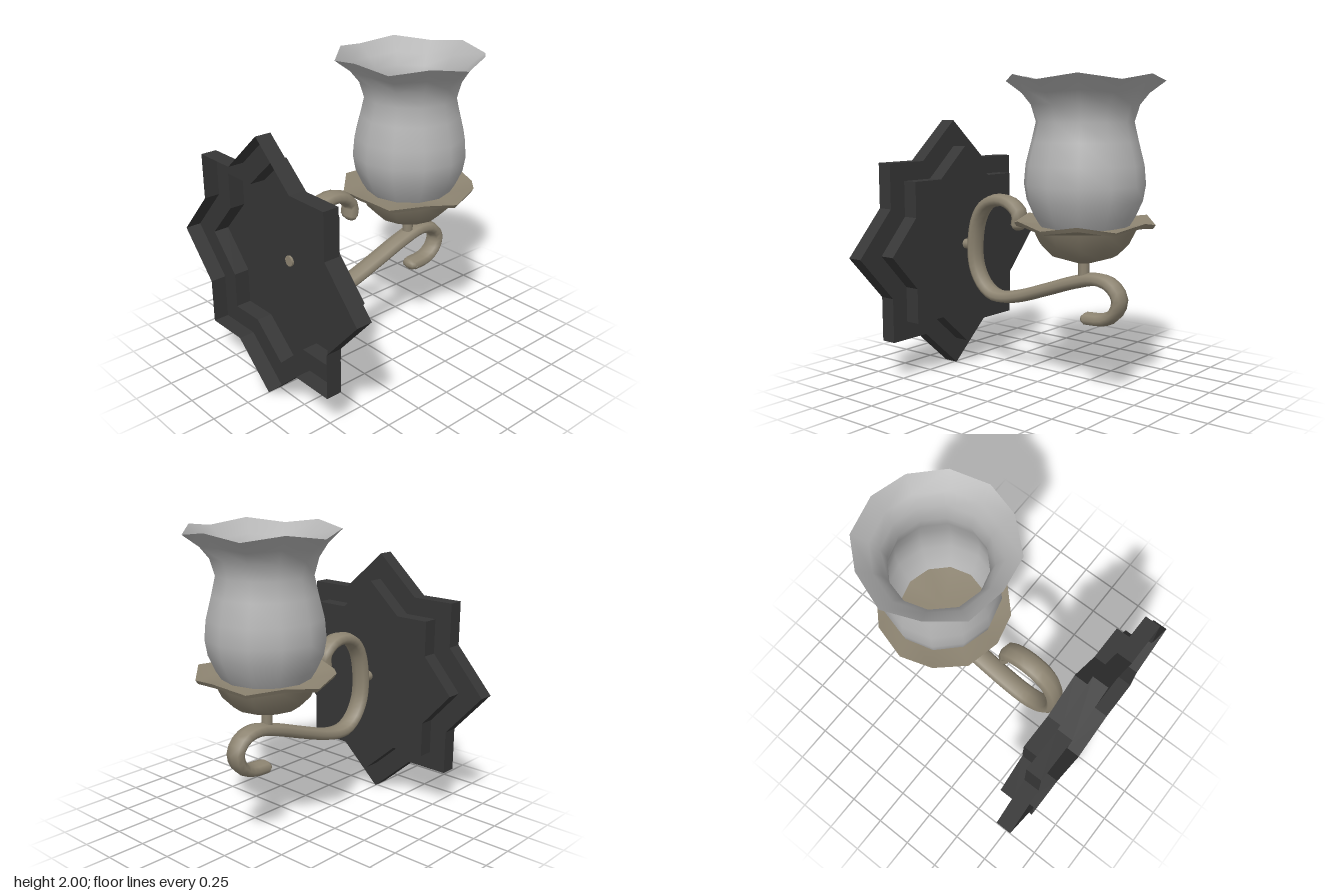
import * as THREE from 'three';
import { mergeVertices, toCreasedNormals } from 'three/addons/utils/BufferGeometryUtils.js';

const CENTER_Y = 0.86; // middle of the wall plate
const CUP_Z = -0.367;  // axis of the bowl and the shade

function material(name, color, side = THREE.FrontSide) {
  const m = new THREE.MeshStandardMaterial({ color, side });
  m.name = name;
  return m;
}

// Eight-pointed star: a square crossed with a diamond
function starPoints(s) {
  const pts = [];
  const corner = [[0.855, 0], [0.59, 0.295], [0.59, 0.59], [0.295, 0.59]];
  for (let q = 0; q < 4; q++) {
    for (const [x, y] of corner) {
      pts.push(new THREE.Vector2(x * s, y * s).rotateAround(new THREE.Vector2(), q * Math.PI / 2));
    }
  }
  return pts;
}

// Open band that follows a loop of points between two depths
function wall(points, z0, z1) {
  const pos = [];
  points.forEach((a, i) => {
    const b = points[(i + 1) % points.length];
    pos.push(a.x, a.y, z0, b.x, b.y, z0, b.x, b.y, z1);
    pos.push(a.x, a.y, z0, b.x, b.y, z1, a.x, a.y, z1);
  });
  const g = new THREE.BufferGeometry();
  g.setAttribute('position', new THREE.Float32BufferAttribute(pos, 3));
  g.computeVertexNormals();
  return g;
}

// Twelve-sided turned part whose rim ripples six times: wave(radius, y) gives [radius change, height change]
function rippledLathe(profile, wave) {
  const g = new THREE.LatheGeometry(profile.map(([r, y]) => new THREE.Vector2(r, y)), 12);
  const p = g.attributes.position;
  for (let i = 0; i < p.count; i++) {
    const x = p.getX(i), y = p.getY(i), z = p.getZ(i);
    const r = Math.hypot(x, z);
    if (r < 1e-5) continue;
    const c = Math.cos(6 * Math.atan2(x, z));
    const [dr, dy] = wave(r, y);
    const k = (r + dr * c) / r;
    p.setXYZ(i, x * k, y + dy * c, z * k);
  }
  g.deleteAttribute('normal');
  g.deleteAttribute('uv');
  const merged = mergeVertices(g, 1e-4);
  merged.computeVertexNormals();
  return merged;
}

export function createModel() {
  const model = new THREE.Group();
  model.name = 'wallLamp';
  const iron = material('darkIron', 0x363636, THREE.DoubleSide);
  const bronze = material('bronze', 0x8e8572);
  const glass = material('frostedGlass', 0xb4b4b4, THREE.DoubleSide);

  function add(parent, name, geometry, mat, x = 0, y = 0, z = 0) {
    const mesh = new THREE.Mesh(geometry, mat);
    mesh.name = name;
    mesh.position.set(x, y, z);
    parent.add(mesh);
    return mesh;
  }

  // Stepped wall plate, hollow towards the wall
  const plate = new THREE.Group();
  plate.name = 'wallPlate';
  plate.position.y = CENTER_Y;
  model.add(plate);
  const outer = starPoints(1), inner = starPoints(0.795);
  const ring = new THREE.Shape(outer);
  ring.holes.push(new THREE.Path(inner));
  add(plate, 'outerWall', wall(outer, 0.735, 0.84), iron);
  add(plate, 'stepRing', new THREE.ShapeGeometry(ring), iron, 0, 0, 0.735);
  add(plate, 'innerWall', wall(inner, 0.63, 0.735), iron);
  add(plate, 'innerFace', new THREE.ShapeGeometry(new THREE.Shape(inner)), iron, 0, 0, 0.63);

  // Scroll arm, wider across than it is thick
  const path = [
    [1.04, 0.155], [1.11, 0.15], [1.17, 0.21], [1.195, 0.3], [1.165, 0.42], [1.07, 0.5],
    [0.9, 0.54], [0.73, 0.53], [0.61, 0.465], [0.55, 0.38], [0.54, 0.29], [0.565, 0.15],
    [0.64, -0.08], [0.715, -0.3], [0.753, -0.47], [0.725, -0.58], [0.645, -0.637],
    [0.555, -0.605], [0.508, -0.53], [0.497, -0.4],
  ].map(([y, z]) => new THREE.Vector3(0, y, z));
  const arm = new THREE.TubeGeometry(new THREE.CatmullRomCurve3(path), 56, 0.042, 8);
  arm.scale(1.68, 1, 1);
  add(model, 'scrollArm', arm, bronze);
  for (const end of [path[0], path[path.length - 1]]) {
    const tip = new THREE.SphereGeometry(0.042, 8, 6);
    tip.scale(1.6, 0.9, 0.9);
    add(model, 'scrollTip', tip, bronze, 0, end.y, end.z);
  }

  // Short pegs joining the plate, the arm and the bowl
  const wallPeg = new THREE.CylinderGeometry(0.035, 0.035, 0.1, 10);
  add(model, 'wallPeg', wallPeg, bronze, 0, 0.87, 0.595).rotation.x = Math.PI / 2;
  add(model, 'bowlPeg', new THREE.CylinderGeometry(0.035, 0.035, 0.12, 10), bronze, 0, 0.81, CUP_Z);

  // Bowl with a thin rippled lip
  const bowl = rippledLathe([
    [0, 0.845], [0.05, 0.85], [0.21, 0.9], [0.28, 0.97], [0.325, 1.065], [0.425, 1.085],
    [0.44, 1.11], [0.3, 1.085], [0, 1.08],
  ], (r, y) => (y > 1.05 && r > 0.31 ? [0, 0.018 * (r - 0.31) / 0.13] : [0, 0]));
  add(model, 'bowl', toCreasedNormals(bowl, 0.7), bronze, 0, 0, CUP_Z);

  // Tulip shade with a flared, rippled mouth
  const shade = rippledLathe([
    [0.28, 1.082], [0.315, 1.14], [0.36, 1.24], [0.377, 1.34], [0.366, 1.46], [0.33, 1.6],
    [0.302, 1.72], [0.332, 1.825], [0.385, 1.9], [0.479, 1.9825],
  ], (r, y) => {
    const t = Math.max(0, (y - 1.72) / 0.2625) ** 2;
    return [-0.009 * t, 0.0175 * t];
  });
  add(model, 'shade', shade, glass, 0, 0, CUP_Z);

  return model;
}
